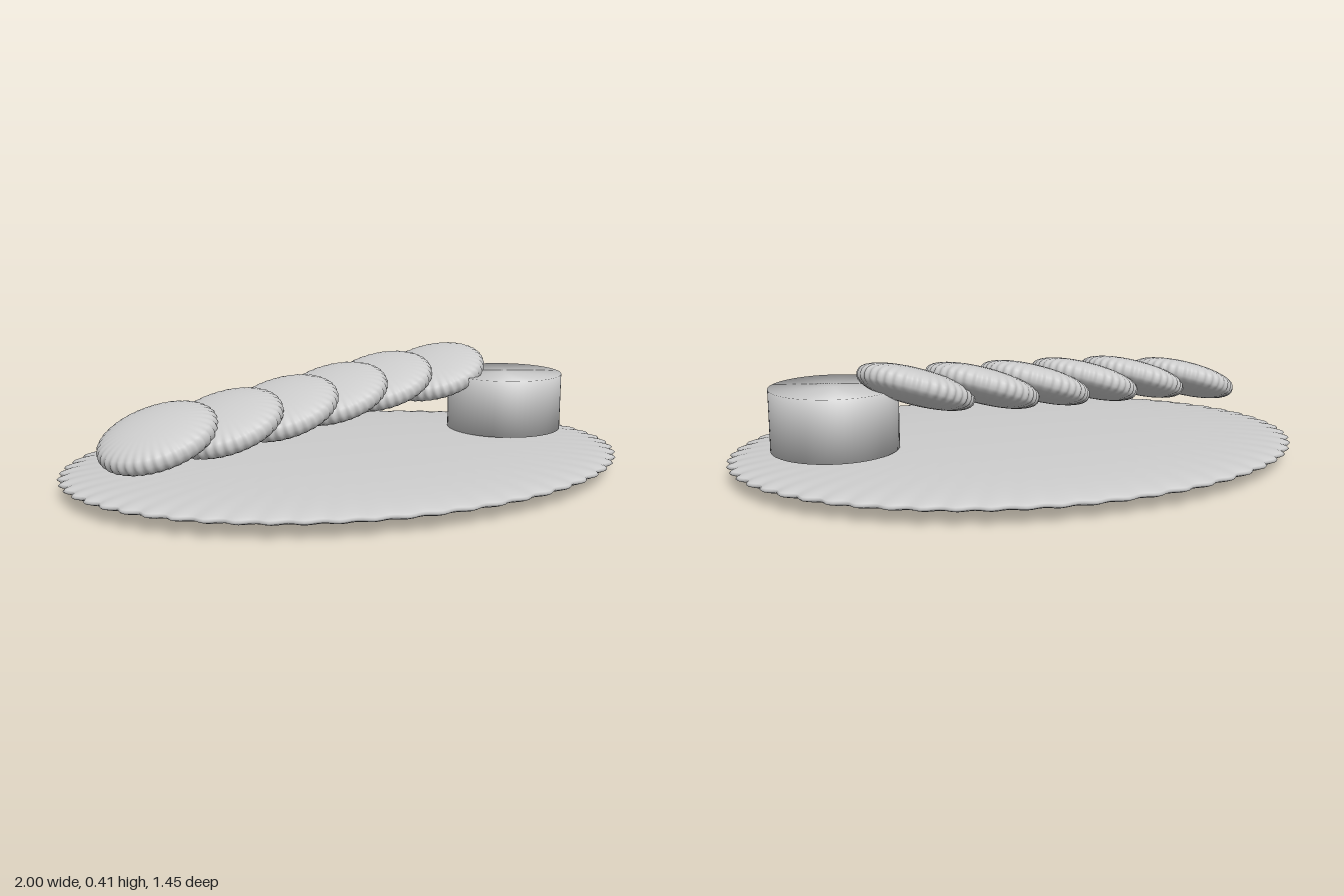
import * as THREE from 'three';
import { mergeVertices } from 'three/addons/utils/BufferGeometryUtils.js';

const stone = new THREE.MeshStandardMaterial({ color: 0xcccccc });
stone.name = 'pale grey';

// Share vertices across seams so the shading runs smoothly over edges
function weld(geometry) {
  geometry.deleteAttribute('uv');
  geometry.deleteAttribute('normal');
  const welded = mergeVertices(geometry, 1e-5);
  welded.computeVertexNormals();
  return welded;
}

// Flattened round body whose radial flutes deepen towards the rim
function flutedDisc(rx, ry, rz, lobes, depth, fullness, rings) {
  const g = new THREE.SphereGeometry(1, lobes * 6, rings);
  const p = g.attributes.position;
  for (let i = 0; i < p.count; i++) {
    const x = p.getX(i), y = p.getY(i), z = p.getZ(i);
    const r = Math.hypot(x, z);
    const flute = 1 + depth * Math.cos(lobes * Math.atan2(z, x)) * r ** 3;
    const height = Math.sign(y) * Math.abs(y) ** fullness;
    p.setXYZ(i, x * flute * rx, height * ry, z * flute * rz);
  }
  return weld(g);
}

export function createModel() {
  const model = new THREE.Group();
  model.name = 'servingPlatter';

  function add(name, geometry, x, y, z) {
    const mesh = new THREE.Mesh(geometry, stone);
    mesh.name = name;
    mesh.position.set(x, y, z);
    model.add(mesh);
    return mesh;
  }

  // Oval plate
  add('plate', flutedDisc(0.99, 0.055, 0.718, 60, 0.01, 1, 28), 0, 0.06, 0);

  // Dip cup
  add('dipCup', weld(new THREE.CylinderGeometry(0.21, 0.21, 0.205, 64)), 0.65, 0.2125, -0.05);

  // Row of overlapping fluted rounds, each leaning on the next
  const round = flutedDisc(0.193, 0.06, 0.193, 38, 0.015, 0.8, 20);
  const centres = [
    [-0.705, 0.225, 0.145], [-0.48, 0.248, 0.115], [-0.26, 0.266, 0.04],
    [-0.04, 0.284, -0.05], [0.17, 0.302, -0.125], [0.4, 0.318, -0.155],
  ];
  centres.forEach(([x, y, z], i) => {
    const mesh = add(`flutedRound${i + 1}`, round, x, y, z);
    mesh.rotation.set(0, 0.5, 0.36, 'YZX');
  });

  return model;
}
